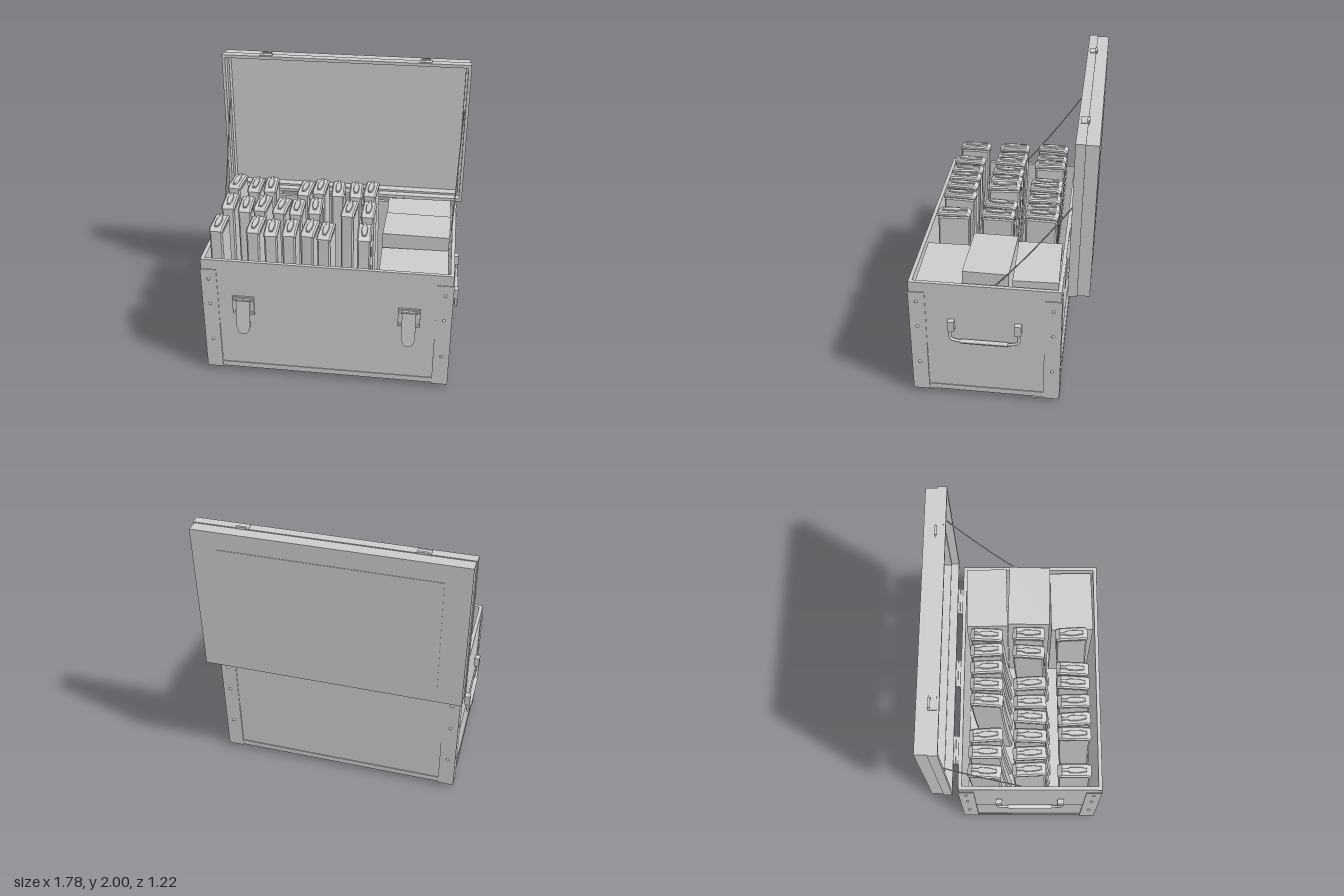
import * as THREE from 'three';

const mat = new THREE.MeshStandardMaterial({ color: 0xcccccc, side: THREE.DoubleSide, flatShading: true });
const smooth = new THREE.MeshStandardMaterial({ color: 0xcccccc, side: THREE.DoubleSide });
const CZ = 0.07; // centre of the chest in z

function add(parent, name, geo, x = 0, y = 0, z = 0, material = mat) {
  const mesh = new THREE.Mesh(geo, material);
  mesh.name = name;
  mesh.position.set(x, y, z);
  parent.add(mesh);
  return mesh;
}
const box = (w, h, d) => new THREE.BoxGeometry(w, h, d);

// Rectangular frame in the xy plane, extruded along +z
function frame(w, h, t, depth) {
  const rect = (a, b, P) => new P([[-a, -b], [a, -b], [a, b], [-a, b]].map(p => new THREE.Vector2(...p)));
  const s = rect(w / 2, h / 2, THREE.Shape);
  s.holes.push(rect(w / 2 - t, h / 2 - t, THREE.Path));
  return new THREE.ExtrudeGeometry(s, { depth, bevelEnabled: false });
}
const wall = (w, d, t, h) => frame(w, d, t, h).rotateX(-Math.PI / 2);

// Side profile (z, y) extruded across x and centred
function sideExtrude(points, width, bevel = 0) {
  const s = new THREE.Shape(points.map(p => new THREE.Vector2(...p)));
  const depth = width - 2 * bevel;
  return new THREE.ExtrudeGeometry(s, {
    depth, bevelEnabled: bevel > 0, bevelSize: bevel, bevelOffset: -bevel, bevelThickness: bevel, bevelSegments: 1,
  }).translate(0, 0, -depth / 2).rotateY(-Math.PI / 2);
}

function buildChest(g) {
  add(g, 'upperPlanks', wall(1.69, 0.99, 0.025, 0.51), 0, 0.41, CZ);
  add(g, 'lowerPlanks', wall(1.68, 0.98, 0.02, 0.37), 0, 0.04, CZ);
  add(g, 'floor', box(1.69, 0.04, 0.99), 0, 0.055, CZ);
  for (const z of [0.43, -0.285]) add(g, 'runner', box(1.64, 0.04, 0.095), 0, 0.02, z);

  // Angled corner plates with rivets on both faces
  const stud = new THREE.SphereGeometry(0.011, 10, 6);
  for (const sx of [-1, 1]) for (const sz of [-1, 1]) {
    const corner = new THREE.Group();
    corner.name = 'cornerPlate';
    corner.position.z = CZ;
    g.add(corner);
    add(corner, 'cornerFace', box(0.11, 0.815, 0.014), sx * 0.795, 0.4375, sz * 0.493);
    add(corner, 'cornerSide', box(0.014, 0.815, 0.11), sx * 0.843, 0.4375, sz * 0.445);
    for (const y of [0.77, 0.57, 0.27]) {
      add(corner, 'rivet', stud, sx * 0.797, y, sz * 0.5, smooth);
      add(corner, 'rivet', stud, sx * 0.85, y, sz * 0.447, smooth);
    }
  }
}

function buildLatch(g, x) {
  const latch = new THREE.Group();
  latch.name = 'latch';
  latch.position.set(x, 0, 0.565);
  g.add(latch);
  add(latch, 'latchPlate', box(0.15, 0.14, 0.014), 0, 0.575, 0.005);
  add(latch, 'latchBarrel', new THREE.CylinderGeometry(0.012, 0.012, 0.11, 10).rotateZ(Math.PI / 2), 0, 0.622, 0.014);
  for (const sx of [-1, 1]) for (const y of [0.525, 0.625])
    add(latch, 'latchRivet', new THREE.SphereGeometry(0.008, 8, 6), sx * 0.063, y, 0.012, smooth);
  // Hanging hasp: broad plate with a narrower rounded tongue
  const s = new THREE.Shape();
  s.moveTo(-0.047, 0).lineTo(0.047, 0).lineTo(0.047, -0.22).lineTo(0.04, -0.23);
  s.absarc(0, -0.23, 0.04, 0, -Math.PI, true);
  s.lineTo(-0.047, -0.22);
  const hasp = add(latch, 'hasp', new THREE.ExtrudeGeometry(s, { depth: 0.01, bevelEnabled: false }), 0, 0.63, 0.012);
  hasp.rotation.x = -0.1;
}

function buildHandle(g, side) {
  const h = new THREE.Group();
  h.name = 'sideHandle';
  h.position.set(side * 0.868, 0, CZ);
  g.add(h);
  for (const sz of [-1, 1]) {
    add(h, 'handleBracket', box(0.036, 0.075, 0.045), 0, 0.612, sz * 0.22);
    const path = new THREE.CatmullRomCurve3([[0.22, 0.6], [0.226, 0.55], [0.226, 0.515], [0.205, 0.5], [0.15, 0.49]]
      .map(([z, y]) => new THREE.Vector3(side * 0.006, y, sz * z)));
    add(h, 'handleArm', new THREE.TubeGeometry(path, 14, 0.01, 8), 0, 0, 0, smooth);
  }
  add(h, 'handleGrip', new THREE.CylinderGeometry(0.016, 0.016, 0.31, 12).rotateX(Math.PI / 2), side * 0.006, 0.49, 0);
}

function buildLid(g) {
  const lid = new THREE.Group();
  lid.name = 'lid';
  lid.position.set(0, 0.925, -0.46);
  lid.rotation.x = -0.0095;
  g.add(lid);
  add(lid, 'lidRim', frame(1.765, 1.06, 0.022, 0.06), 0, 0.53, -0.06);
  add(lid, 'lidWalls', frame(1.75, 1.048, 0.03, 0.075), 0, 0.53, -0.13);
  add(lid, 'lidTop', box(1.75, 1.048, 0.02), 0, 0.53, -0.128);
  add(lid, 'lidPanel', box(1.42, 0.8, 0.004), 0, 0.53, -0.139);
  for (const x of [-0.565, 0.565]) {
    add(lid, 'latchCatch', box(0.065, 0.014, 0.016), x, 1.066, -0.06);
    add(lid, 'catchPlate', box(0.09, 0.008, 0.05), x, 1.06, -0.04);
  }
}

function buildHinge(g, x) {
  const h = new THREE.Group();
  h.name = 'hinge';
  h.position.x = x;
  g.add(h);
  add(h, 'hingeLeaf', box(0.2, 0.09, 0.01), 0, 0.87, -0.43);
  add(h, 'hingeBarrel', new THREE.CylinderGeometry(0.011, 0.011, 0.2, 10).rotateZ(Math.PI / 2), 0, 0.915, -0.44);
  add(h, 'hingeLidLeaf', box(0.2, 0.008, 0.13), 0, 0.92, -0.505);
}

// Curved magazine standing on the floor, base plate upward
function magazineGeometries() {
  const front = [], back = [];
  for (let i = 0; i <= 8; i++) {
    const t = i / 8, shift = 0.06 * (1 - t) ** 1.6;
    front.push([0.108 + shift, t]);
    back.unshift([-0.108 + shift, t]);
  }
  const keyhole = new THREE.Shape();
  [[-0.009, -0.08], [0.009, -0.08], [0.017, -0.03], [0.017, 0.025], [0.008, 0.045], [0.008, 0.085],
    [-0.008, 0.085], [-0.008, 0.045], [-0.017, 0.025], [-0.017, -0.03]]
    .forEach(([a, b], i) => (i ? keyhole.lineTo(a, b) : keyhole.moveTo(a, b)));
  return {
    body: sideExtrude([...front, ...back], 0.088, 0.01),
    plate: sideExtrude([[0.113, 0], [0.113, 0.014], [0.085, 0.032], [-0.085, 0.032], [-0.113, 0.012], [-0.113, 0]], 0.096, 0.01),
    ridge: new THREE.ExtrudeGeometry(keyhole, {
      depth: 0.008, bevelEnabled: true, bevelSize: 0.003, bevelThickness: 0.004, bevelSegments: 1,
    }).rotateX(-Math.PI / 2),
  };
}

function buildMagazines(g) {
  const geo = magazineGeometries();
  const rows = [{ z: 0.365, gaps: [1, 7] }, { z: 0.062, gaps: [6] }, { z: -0.235, gaps: [3] }];
  rows.forEach(({ z, gaps }, r) => {
    for (let i = 0; i < 9; i++) {
      if (gaps.includes(i)) continue;
      const k = i * 2.3 + r * 4.1; // small repeatable variation
      const m = new THREE.Group();
      m.name = 'magazine';
      m.position.set(-0.75 + i * 0.123, 0.075 + 0.01 * Math.sin(k * 1.7), z + 0.004 * Math.sin(k * 3));
      m.rotation.set(0, 0.07 * Math.sin(k * 2.1), 0.008 * Math.sin(k));
      g.add(m);
      add(m, 'magazineBody', geo.body);
      add(m, 'basePlate', geo.plate, 0, 1, 0);
      add(m, 'basePlateRidge', geo.ridge, 0, 1.03, 0);
    }
  });
}

export function createModel() {
  const g = new THREE.Group();
  g.name = 'openSupplyChest';
  buildChest(g);
  buildLid(g);
  for (const x of [-0.565, 0, 0.565]) buildHinge(g, x);
  for (const s of [-1, 1]) {
    buildLatch(g, s * 0.565);
    buildHandle(g, s);
    // Stay cord holding the lid, sagging slightly
    const cord = new THREE.QuadraticBezierCurve3(new THREE.Vector3(s * 0.815, 0.915, 0.005),
      new THREE.Vector3(s * 0.832, 1.2, -0.24), new THREE.Vector3(s * 0.853, 1.63, -0.52));
    add(g, 'lidStay', new THREE.TubeGeometry(cord, 16, 0.004, 6), 0, 0, 0, smooth);
  }
  buildMagazines(g);

  // Cartons stacked at the model's left end: centre z, depth, top, turn
  for (const [z, d, top, turn] of [[0.375, 0.305, 0.9, 0.015], [0.063, 0.3, 1.0, -0.02], [-0.248, 0.295, 0.96, 0.025]]) {
    const carton = add(g, 'carton', box(0.455, top - 0.075, d), 0.577, (top + 0.075) / 2, z);
    carton.rotation.y = turn;
  }
  return g;
}
